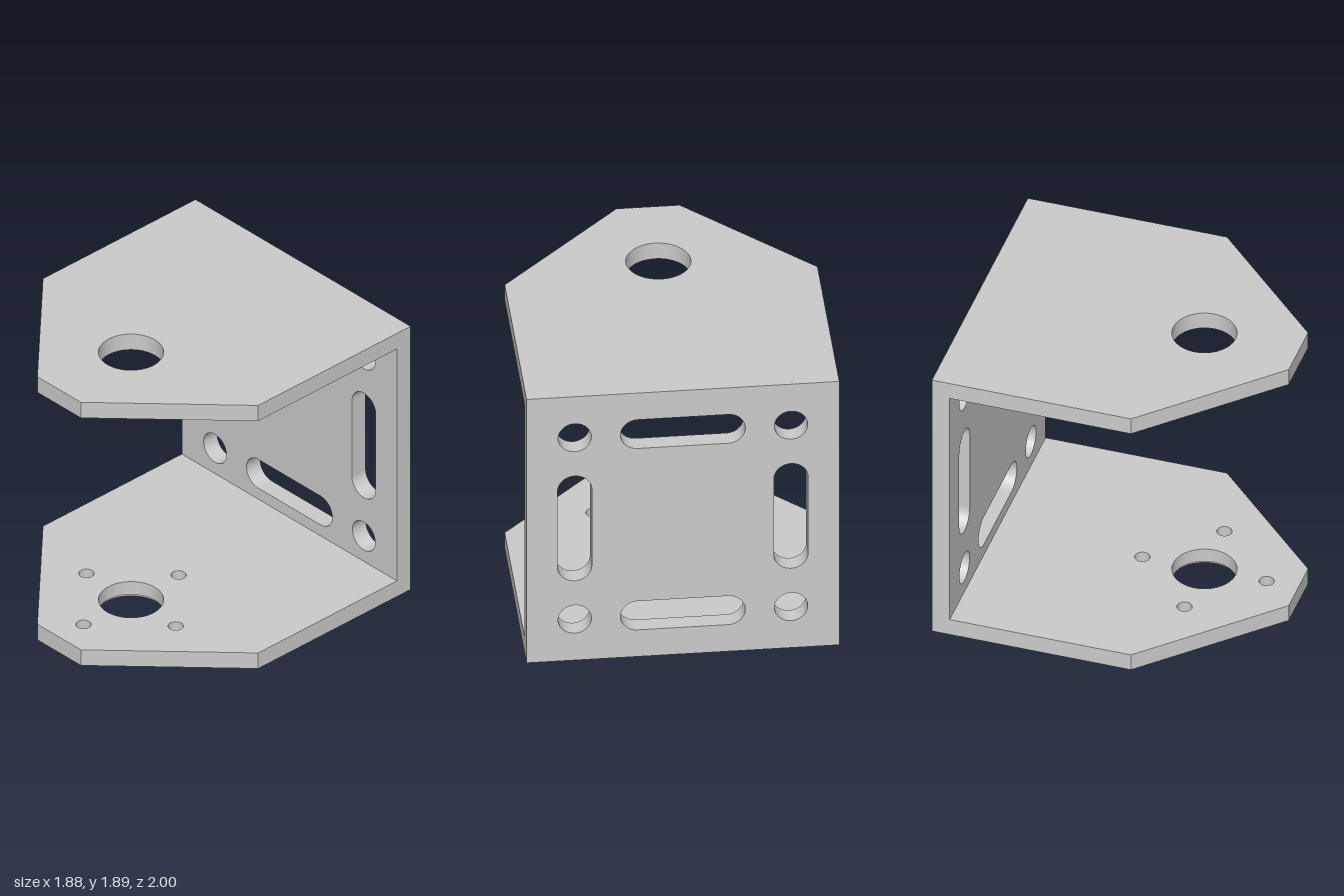
import * as THREE from 'three';

const HALF_W = 0.94, HEIGHT = 1.888, T = 0.112;
const WALL_FRONT = -1 + T;
const BORE_Z = 0.41, BORE_R = 0.195;

const material = new THREE.MeshStandardMaterial({ color: 0xcccccc });

function polygon(points) {
  return new THREE.Shape(points.map(([x, y]) => new THREE.Vector2(x, y)));
}

function circleHole(x, y, r) {
  return new THREE.Path().absarc(x, y, r, 0, Math.PI * 2, true);
}

// Round-ended slot; hx and hy are the half lengths of its straight part
function slotHole(x, y, hx, hy, r) {
  const p = new THREE.Path();
  if (hx > 0) {
    p.absarc(x + hx, y, r, -Math.PI / 2, Math.PI / 2, false);
    p.absarc(x - hx, y, r, Math.PI / 2, Math.PI * 1.5, false);
  } else {
    p.absarc(x, y + hy, r, 0, Math.PI, false);
    p.absarc(x, y - hy, r, Math.PI, Math.PI * 2, false);
  }
  return p.closePath();
}

function extrude(name, shape, depth) {
  const geometry = new THREE.ExtrudeGeometry(shape, { depth, bevelEnabled: false, curveSegments: 32 });
  const mesh = new THREE.Mesh(geometry, material);
  mesh.name = name;
  return mesh;
}

// Horizontal plate with a tapered front, lying below the height "top"
function plate(name, top, thickness, boreRadius, boltHoles) {
  const shape = polygon([
    [-HALF_W, WALL_FRONT], [HALF_W, WALL_FRONT], [HALF_W, 0.25],
    [0.19, 1], [-0.19, 1], [-HALF_W, 0.25],
  ]);
  shape.holes.push(circleHole(0, BORE_Z, boreRadius));
  if (boltHoles) {
    for (const [dx, dz] of [[1, 0], [-1, 0], [0, 1], [0, -1]]) {
      shape.holes.push(circleHole(dx * 0.39, BORE_Z + dz * 0.39, 0.046));
    }
  }
  const mesh = extrude(name, shape, thickness);
  mesh.rotation.x = Math.PI / 2;
  mesh.position.y = top;
  return mesh;
}

// Back wall with corner holes and four slots
function backWall() {
  const mid = HEIGHT / 2, off = 0.65, r = 0.103;
  const shape = polygon([[-HALF_W, 0], [HALF_W, 0], [HALF_W, HEIGHT], [-HALF_W, HEIGHT]]);
  for (const s of [-1, 1]) {
    for (const t of [-1, 1]) shape.holes.push(circleHole(s * off, mid + t * off, 0.1));
    shape.holes.push(slotHole(0, mid + s * off, 0.272, 0, r));
    shape.holes.push(slotHole(s * off, mid, 0, 0.272, r));
  }
  const mesh = extrude('backWall', shape, T);
  mesh.position.z = -1;
  return mesh;
}

export function createModel() {
  const group = new THREE.Group();
  group.name = 'mountingBracket';
  const recess = 0.02;

  // Bottom plate: main layer above a thin layer with a slightly wider bore
  const bottom = new THREE.Group();
  bottom.name = 'bottomPlate';
  bottom.add(
    plate('bottomPlateMain', T, T - recess, BORE_R, true),
    plate('bottomPlateRecess', recess, recess, 0.21, true),
  );

  group.add(backWall(), plate('topPlate', HEIGHT, T, BORE_R, false), bottom);
  return group;
}
